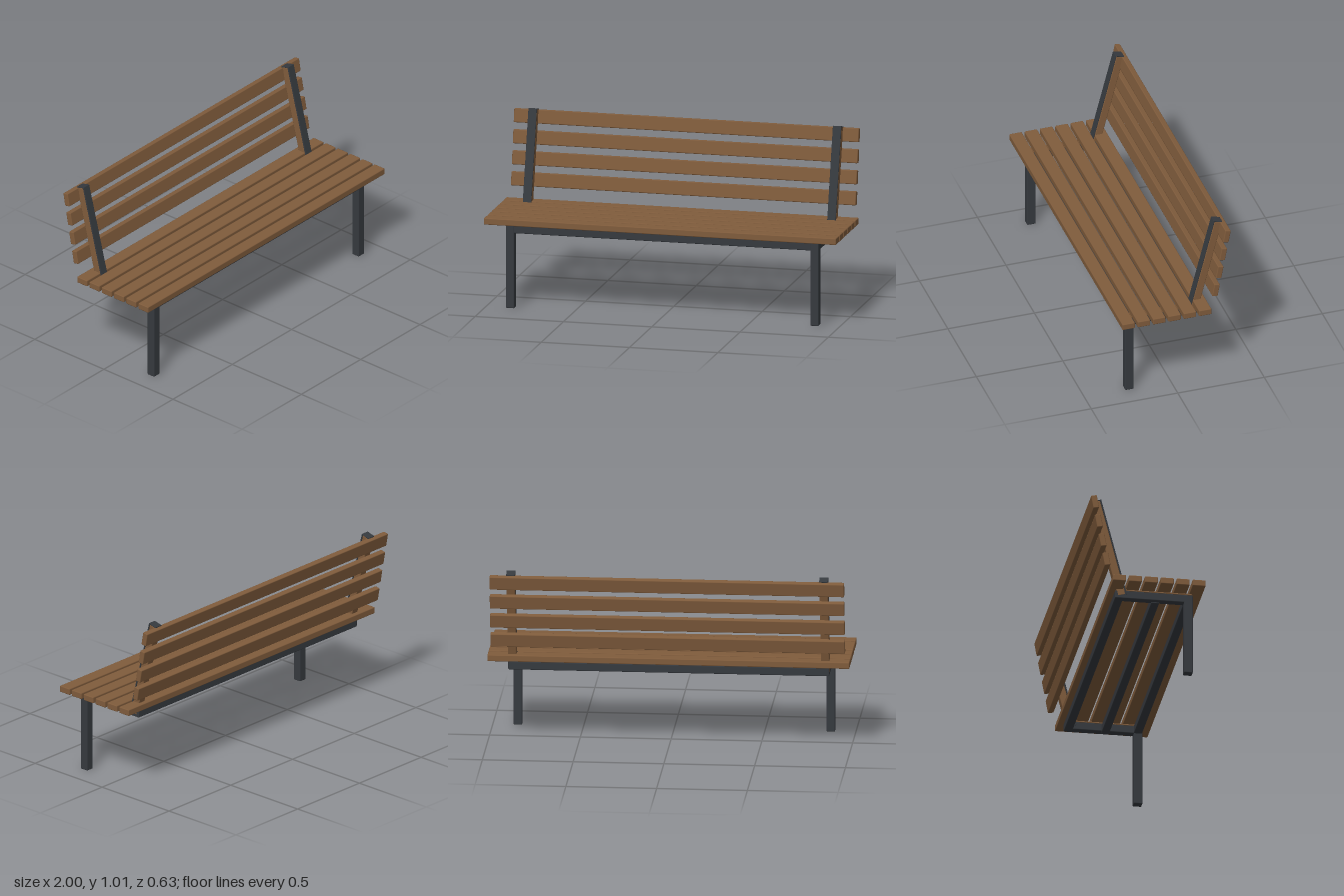
import * as THREE from 'three';
import { RoundedBoxGeometry } from 'three/addons/geometries/RoundedBoxGeometry.js';

const wood = new THREE.MeshStandardMaterial({ color: 0x805c3c });
const metal = new THREE.MeshStandardMaterial({ color: 0x363a3f });

// Softly bevelled bar, placed by its centre
function bar(parent, name, material, size, position, tilt = 0) {
  const bevel = Math.min(0.005, Math.min(...size) * 0.3);
  const mesh = new THREE.Mesh(new RoundedBoxGeometry(...size, 1, bevel), material);
  mesh.name = name;
  mesh.position.set(...position);
  mesh.rotation.x = tilt;
  parent.add(mesh);
  return mesh;
}

function group(parent, name) {
  const g = new THREE.Group();
  g.name = name;
  parent.add(g);
  return g;
}

export function createModel() {
  const bench = new THREE.Group();
  bench.name = 'bench';

  // Six seat planks
  const seat = group(bench, 'seat');
  for (let i = 0; i < 6; i++) {
    bar(seat, 'seatSlat', wood, [1.995, 0.037, 0.073], [0, 0.497, 0.282 - i * 0.0885]);
  }

  // Four leaning planks fixed behind the posts
  const back = group(bench, 'backrest');
  for (let i = 0; i < 4; i++) {
    bar(back, 'backSlat', wood, [1.953, 0.077, 0.033],
      [0, 0.615 + i * 0.114, -0.23 - i * 0.021], -0.18);
  }

  // Long rails under the seat
  const frame = group(bench, 'frame');
  bar(frame, 'frontRail', metal, [1.72, 0.046, 0.047], [0, 0.449, 0.24]);
  bar(frame, 'middleRail', metal, [1.72, 0.046, 0.045], [0, 0.442, 0.06]);
  bar(frame, 'rearRail', metal, [1.72, 0.046, 0.047], [0, 0.449, -0.144]);

  for (const side of [-1, 1]) {
    const x = side * 0.862;
    const name = side > 0 ? 'left' : 'right';
    bar(frame, name + 'SideRail', metal, [0.045, 0.046, 0.433], [x, 0.449, 0.049]);
    bar(frame, name + 'RailTop', wood, [0.045, 0.008, 0.38], [x, 0.475, 0.07]);
    bar(frame, name + 'Leg', metal, [0.047, 0.469, 0.049], [x, 0.2365, 0.241]);

    // Leaning post with a dark front strip and top cap
    const post = group(bench, name + 'Post');
    post.position.set(x, 0.7255, -0.198);
    post.rotation.x = -0.25;
    bar(post, 'postCore', wood, [0.047, 0.576, 0.044], [0, -0.002, -0.004]);
    bar(post, 'postFront', metal, [0.048, 0.58, 0.008], [0, 0, 0.022]);
    bar(post, 'postCap', metal, [0.048, 0.006, 0.052], [0, 0.288, 0]);
  }
  return bench;
}
